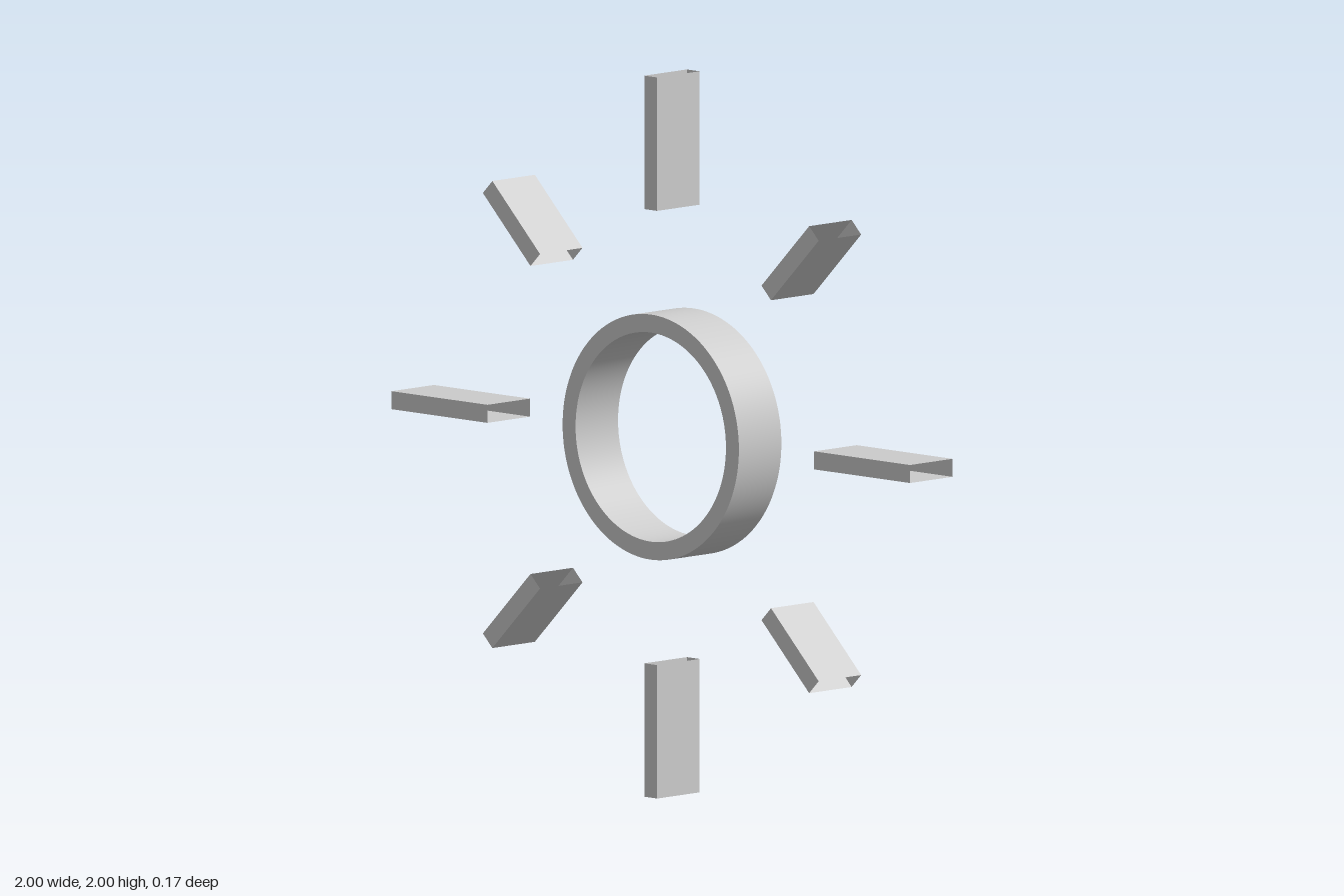
import * as THREE from 'three';
import { toCreasedNormals } from 'three/addons/utils/BufferGeometryUtils.js';

const DEPTH = 0.166;
const CENTRE_Y = 1;

// Four-walled rectangular sleeve, open at both ends, running along +y from inner to outer radius
function sleeveGeometry(inner, outer, thickness) {
  const length = outer - inner;
  const g = new THREE.CylinderGeometry(Math.SQRT1_2, Math.SQRT1_2, length, 4, 1, true);
  g.rotateY(Math.PI / 4);
  g.scale(thickness, 1, DEPTH);
  g.translate(0, inner + length / 2, 0);
  return toCreasedNormals(g, 0.5);
}

// Flat band with square edges and smooth curved walls
function ringGeometry(inner, outer) {
  const shape = new THREE.Shape().absarc(0, 0, outer, 0, Math.PI * 2, false);
  shape.holes.push(new THREE.Path().absarc(0, 0, inner, 0, Math.PI * 2, true));
  const g = new THREE.ExtrudeGeometry(shape, { depth: DEPTH, bevelEnabled: false, curveSegments: 64 });
  g.translate(0, 0, -DEPTH / 2);
  return toCreasedNormals(g, 0.6);
}

export function createModel() {
  const model = new THREE.Group();
  model.name = 'sun';
  const solid = new THREE.MeshStandardMaterial({ color: 0xcccccc });
  const open = new THREE.MeshStandardMaterial({ color: 0xcccccc, side: THREE.DoubleSide });

  // Central ring
  const ring = new THREE.Mesh(ringGeometry(0.29, 0.34), solid);
  ring.name = 'ring';
  ring.position.y = CENTRE_Y;
  model.add(ring);

  // Eight rays, alternating long (straight) and short (diagonal)
  const longRay = sleeveGeometry(0.63, 1, 0.05);
  const shortRay = sleeveGeometry(0.63, 0.89, 0.052);
  for (let i = 0; i < 8; i++) {
    const isLong = i % 2 === 0;
    const ray = new THREE.Mesh(isLong ? longRay : shortRay, open);
    ray.name = `${isLong ? 'long' : 'short'}Ray${Math.floor(i / 2) + 1}`;
    ray.position.y = CENTRE_Y;
    ray.rotation.z = (i * Math.PI) / 4;
    model.add(ray);
  }
  return model;
}
